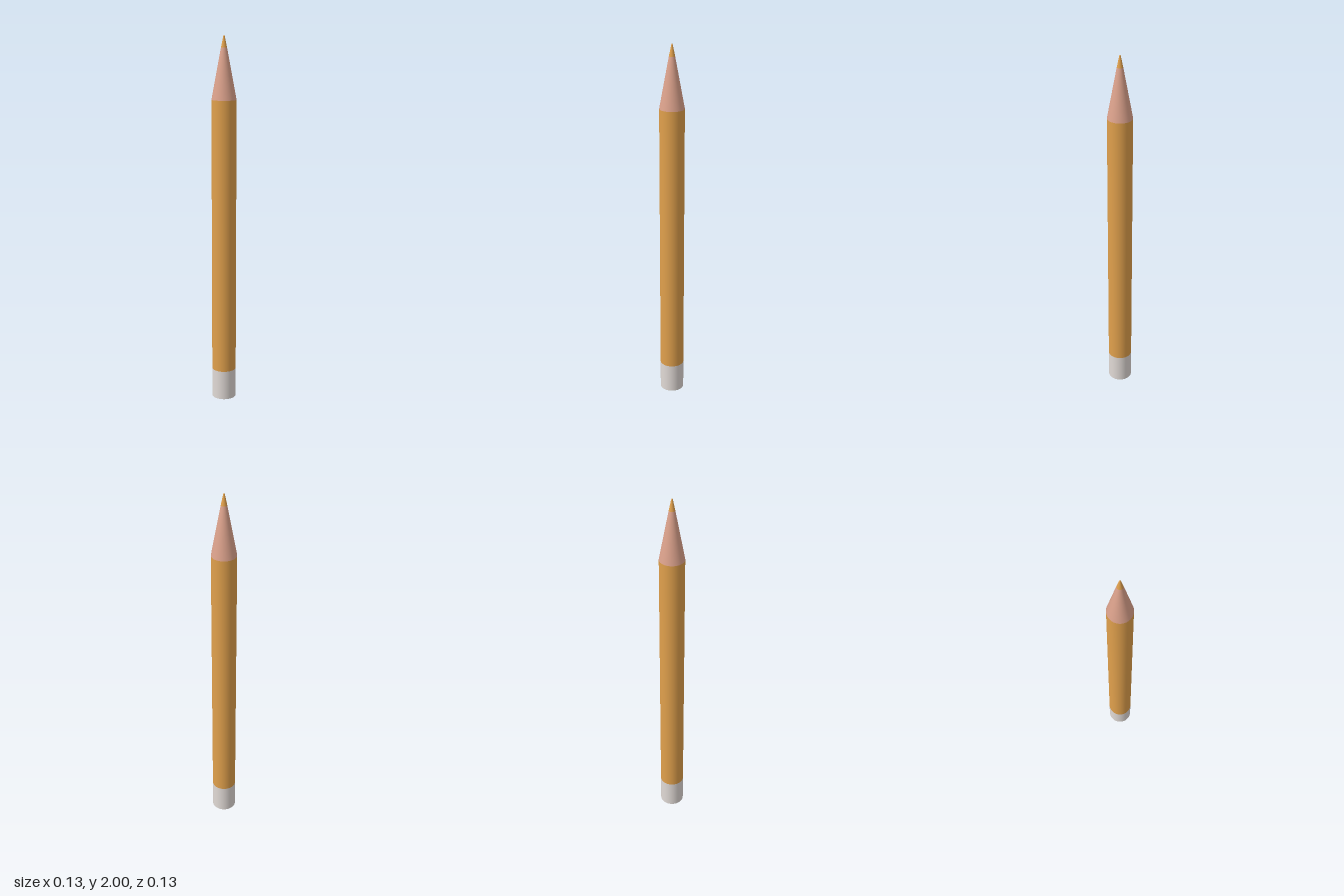
import * as THREE from 'three';

const RADIUS = 0.066;
const SIDES = 48;

export function createModel() {
  const pencil = new THREE.Group();
  pencil.name = 'pencil';

  // One round section between two heights, with optional end caps
  const section = (name, color, y0, y1, r0, r1, open = true) => {
    const geometry = new THREE.CylinderGeometry(r1, r0, y1 - y0, SIDES, 1, open);
    geometry.translate(0, (y0 + y1) / 2, 0);
    const mesh = new THREE.Mesh(geometry, new THREE.MeshStandardMaterial({ color }));
    mesh.name = name;
    pencil.add(mesh);
  };

  // Eraser end, closed underneath
  section('eraser', 0xe0d9d5, 0, 0.165, RADIUS, RADIUS, false);

  // Painted barrel
  section('barrel', 0xe0a04c, 0.165, 1.667, RADIUS, RADIUS);

  // Sharpened wood, narrowing to the lead
  section('sharpenedWood', 0xdca28c, 1.667, 1.935, RADIUS, 0.016);

  // Coloured lead with a tiny blunt point
  section('lead', 0xe0a04c, 1.935, 1.993, 0.016, 0.004);
  section('leadPoint', 0xe0a04c, 1.993, 2, 0.004, 0);

  return pencil;
}
